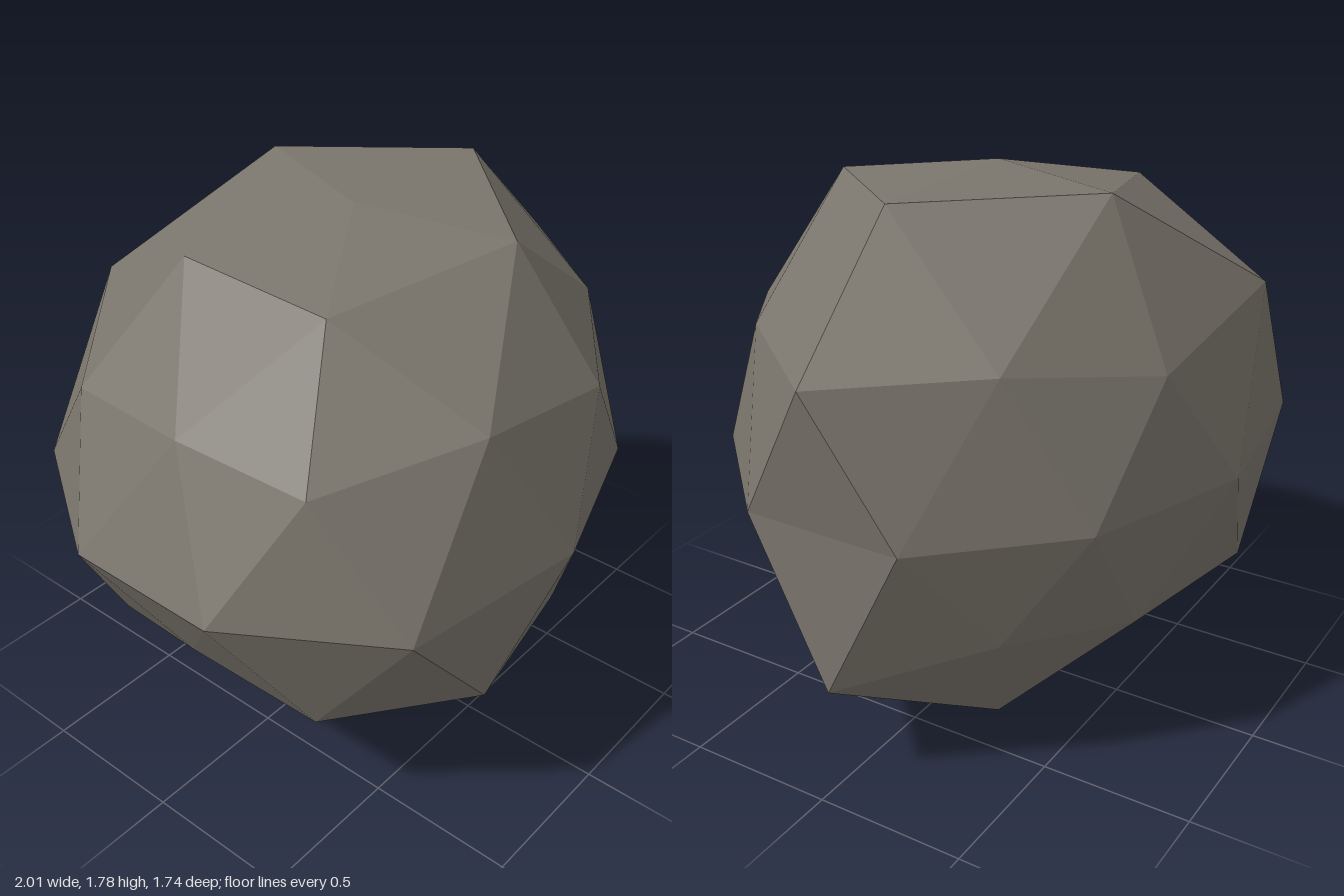
import * as THREE from 'three';

// Faceted boulder: a once-subdivided icosahedron with each corner pushed in or out.
const SCALE = new THREE.Vector3(1.02, 0.91, 0.87);
const CENTRE = new THREE.Vector3(-0.03, 0.89, 0);

// Unit direction from height and angle (0 = +x, turning to +z), scaled and pushed by k
function corner(height, degrees, k) {
  const a = THREE.MathUtils.degToRad(degrees);
  const r = Math.sqrt(1 - height * height);
  return new THREE.Vector3(Math.cos(a) * r, height, Math.sin(a) * r)
    .multiply(SCALE).multiplyScalar(k).add(CENTRE);
}

// Ring of corners; heights alternate where two are given
function ring(heights, start, push) {
  return push.map((k, i) =>
    corner(heights[i % heights.length], start + (360 / push.length) * i, k));
}

function boulderGeometry() {
  const top = corner(1, 0, 0.98);
  const upperCap = ring([0.851], 0, [1.136, 1.09, 0.99, 1.025, 1.145]);
  const upper = ring([0.447, 0.526], 0, [1.135, 0.99, 1, 1.03, 1, 0.9, 1, 1.13, 1, 0.99]);
  const equator = ring([0], 18, [1, 0.96, 1, 1.09, 1, 1, 1.09, 1, 0.96, 1]);
  const lower = ring([-0.526, -0.447], 0, [1.12, 0.94, 0.94, 1.05, 0.98, 0.86, 0.98, 1.05, 0.94, 0.94]);
  const lowerCap = ring([-0.851], 36, [0.96, 0.89, 0.86, 0.89, 1.04]);
  const bottom = corner(-1, 0, 0.98);

  const points = [];
  const tri = (a, b, c) => points.push(a, b, c);

  // Top and bottom caps
  for (let i = 0; i < 5; i++) {
    const n = (i + 1) % 5, a = 2 * i, b = a + 1, c = (a + 2) % 10;
    tri(top, upperCap[n], upperCap[i]);
    tri(upperCap[i], upper[b], upper[a]);
    tri(upperCap[i], upperCap[n], upper[b]);
    tri(upperCap[n], upper[c], upper[b]);
    tri(lower[a], lower[b], lowerCap[i]);
    tri(lower[b], lower[c], lowerCap[i]);
    tri(lower[c], lowerCap[n], lowerCap[i]);
    tri(lowerCap[i], lowerCap[n], bottom);
  }
  // Bands above and below the equator
  for (let j = 0; j < 10; j++) {
    const n = (j + 1) % 10, p = (j + 9) % 10;
    tri(upper[j], upper[n], equator[j]);
    tri(upper[j], equator[j], equator[p]);
    tri(equator[j], lower[n], lower[j]);
    tri(equator[p], equator[j], lower[j]);
  }

  const geometry = new THREE.BufferGeometry().setFromPoints(points);
  geometry.computeVertexNormals();
  return geometry;
}

export function createModel() {
  const stone = new THREE.MeshStandardMaterial({ color: 0x7a756c, flatShading: true });
  stone.name = 'stone';
  const boulder = new THREE.Mesh(boulderGeometry(), stone);
  boulder.name = 'boulder';
  const model = new THREE.Group();
  model.name = 'rock';
  model.add(boulder);
  return model;
}
